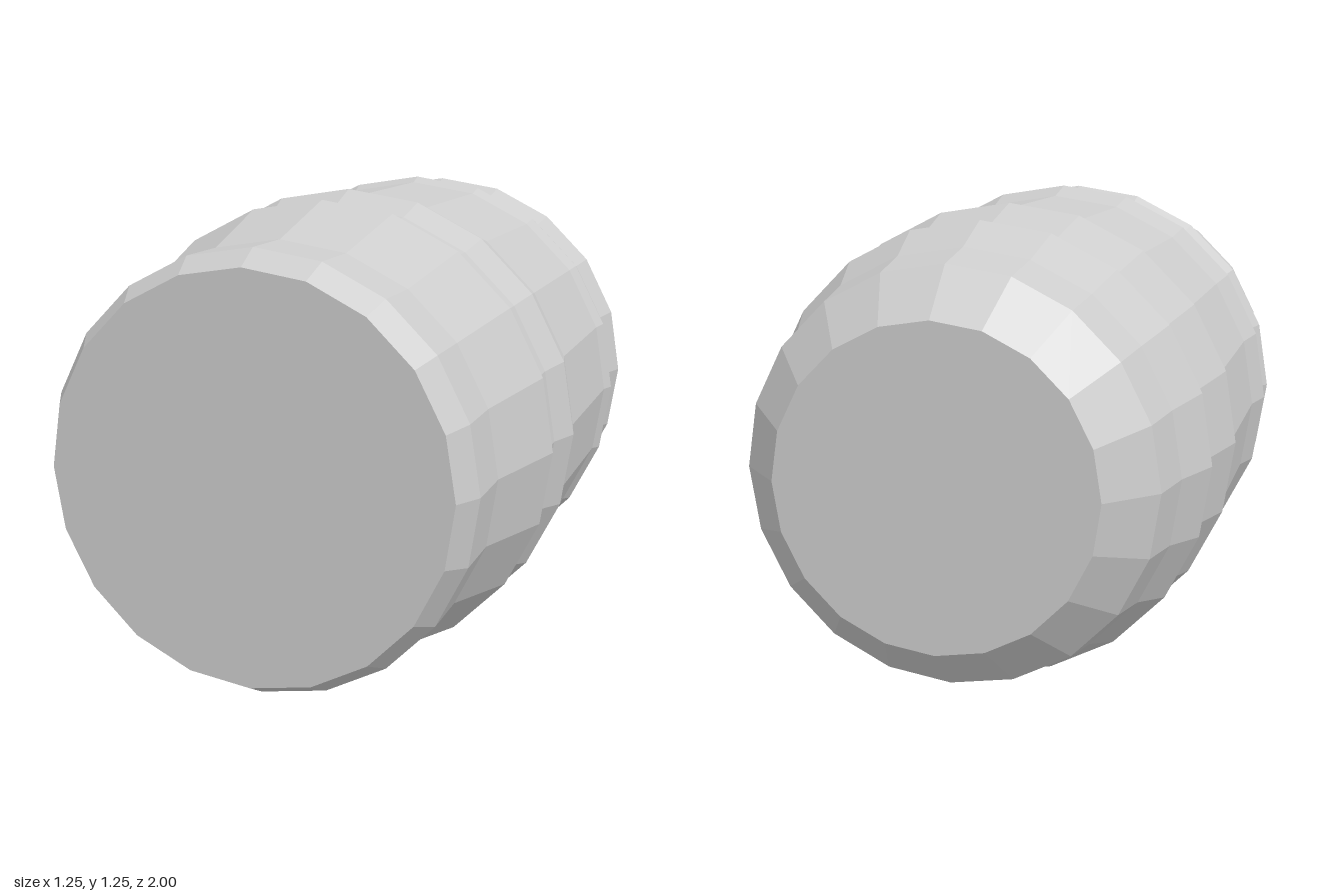
import * as THREE from 'three';

export function createModel() {
  const group = new THREE.Group();
  group.name = 'barrel';
  const grey = new THREE.MeshStandardMaterial({ color: 0xcccccc, flatShading: true });
  grey.name = 'light grey';

  const sides = 20;
  const centreY = 0.627;

  // Barrel profile from back to front: [radius, z]
  const profile = [
    [0.40, -1], [0.515, -0.88], [0.54, -0.74],
    [0.593, -0.6], [0.57, -0.53],       // rear hoop
    [0.617, -0.33], [0.603, -0.29],     // rear middle hoop
    [0.603, 0.18], [0.627, 0.29],       // front middle hoop
    [0.595, 0.38], [0.595, 0.46], [0.615, 0.49], // front hoop
    [0.545, 0.77], [0.545, 0.93], [0.507, 1],
  ];

  // Faceted shell, turned so that its axis runs along z
  const shellGeometry = new THREE.LatheGeometry(
    profile.map(([r, z]) => new THREE.Vector2(r, z)), sides);
  shellGeometry.rotateX(Math.PI / 2);
  const shell = new THREE.Mesh(shellGeometry, grey);
  shell.name = 'barrelShell';
  shell.position.y = centreY;
  group.add(shell);

  // Flat end lids
  const addLid = (name, [radius, z]) => {
    const geometry = new THREE.CircleGeometry(radius, sides);
    if (z < 0) geometry.rotateY(Math.PI);
    const lid = new THREE.Mesh(geometry, grey);
    lid.name = name;
    lid.position.set(0, centreY, z);
    group.add(lid);
  };
  addLid('backLid', profile[0]);
  addLid('frontLid', profile[profile.length - 1]);

  return group;
}
